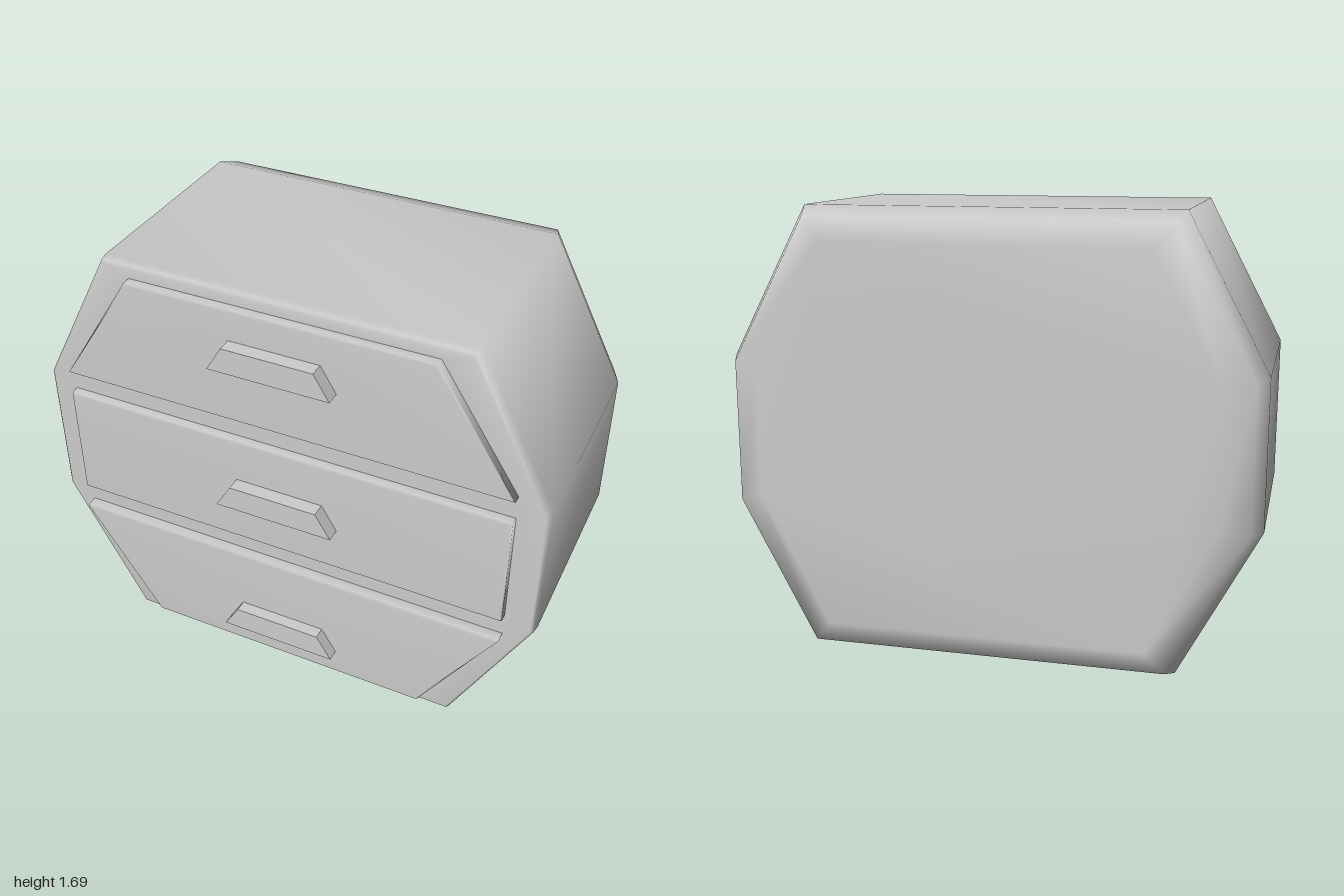
import * as THREE from 'three';
import { mergeGeometries, mergeVertices } from 'three/addons/utils/BufferGeometryUtils.js';

const material = new THREE.MeshStandardMaterial({ color: 0xcccccc, side: THREE.DoubleSide });
const MID = 0.845; // half of the cabinet height

// Symmetric outline, counter-clockwise: half widths at bottom and top
const trapezoid = (bottom, top, y0, y1) => [[-bottom, y0], [bottom, y0], [top, y1], [-top, y1]];

// Outline scaled about its own centre height
const scaled = (pts, s, cy) => pts.map(([x, y]) => [x * s, cy + (y - cy) * s]);

// Outline pulled in by a small distance on both axes
const inset = (pts, d, cy) => pts.map(([x, y]) => [x - Math.sign(x) * d, y - Math.sign(y - cy) * d]);

// Walls joining outlines listed from front to back; skip(ring, side) leaves a gap
function walls(rings, skip = () => false) {
  const pos = [], index = [], n = rings[0].pts.length;
  rings.forEach(({ pts, z }) => pts.forEach(([x, y]) => pos.push(x, y, z)));
  for (let r = 0; r < rings.length - 1; r++) {
    for (let i = 0; i < n; i++) {
      if (skip(r, i)) continue;
      const j = (i + 1) % n, a = r * n + i, b = r * n + j;
      index.push(a, a + n, b + n, a, b + n, b);
    }
  }
  const g = new THREE.BufferGeometry();
  g.setAttribute('position', new THREE.Float32BufferAttribute(pos, 3));
  g.setIndex(index);
  return g;
}

// Flat face at depth z, with optional holes
function face(pts, z, holes = [], back = false) {
  const toVec = (list) => list.map(([x, y]) => new THREE.Vector2(x, y));
  const shape = new THREE.Shape(toVec(pts));
  holes.forEach((h) => shape.holes.push(new THREE.Path(toVec(h))));
  const g = new THREE.ShapeGeometry(shape).translate(0, 0, z);
  if (back) g.setIndex(Array.from(g.index.array).reverse());
  g.deleteAttribute('uv');
  g.deleteAttribute('normal');
  return g;
}

// Joins pieces into one mesh, smooth or crisp
function build(name, pieces, smooth) {
  let g = mergeVertices(mergeGeometries(pieces.map((p) => {
    const q = p.toNonIndexed();
    return q;
  })), 1e-4);
  if (!smooth) g = g.toNonIndexed();
  g.computeVertexNormals();
  const mesh = new THREE.Mesh(g, material);
  mesh.name = name;
  return mesh;
}

export function createModel() {
  const group = new THREE.Group();
  group.name = 'drawerCabinet';

  const drawers = [
    { name: 'lowerDrawer', pts: trapezoid(0.585, 0.885, 0.05, 0.52), cy: 0.285, z: 0.498, handleY: 0.165 },
    { name: 'middleDrawer', pts: trapezoid(0.885, 0.885, 0.615, 1.08), cy: 0.8475, z: 0.49, handleY: 0.803 },
    { name: 'upperDrawer', pts: trapezoid(0.885, 0.585, 1.175, 1.64), cy: 1.4075, z: 0.49, handleY: 1.42 },
  ];

  // Eight-sided body: small front bevel, wide back bevel, open underside
  const outline = [[-0.7, 0], [0.7, 0], [1, 0.565], [1, 1.125], [0.7, 1.69], [-0.7, 1.69], [-1, 1.125], [-1, 0.565]];
  const rings = [[0.985, 0.45], [0.995, 0.44], [1, 0.41], [1, -0.405], [0.96, -0.5], [0.855, -0.543]]
    .map(([s, z]) => ({ pts: scaled(outline, s, MID), z }));
  group.add(build('body', [
    walls(rings, (ring, side) => ring === 2 && side === 0),
    face(rings[0].pts, 0.45, drawers.map((d) => d.pts)),
    face(rings[5].pts, -0.543, [], true),
  ], true));

  // Raised drawer fronts, each with a tapered pull
  for (const d of drawers) {
    const pull = trapezoid(0.235, 0.175, d.handleY, d.handleY + 0.1);
    const front = inset(d.pts, 0.006, d.cy);
    const drawer = new THREE.Group();
    drawer.name = d.name;
    drawer.add(build('drawerFront', [
      face(front, d.z, [pull]),
      walls([{ pts: front, z: d.z }, { pts: d.pts, z: d.z - 0.008 }, { pts: d.pts, z: 0.45 }]),
    ], true));
    drawer.add(build('handle', [
      face(pull, 0.545),
      walls([{ pts: pull, z: 0.545 }, { pts: pull, z: d.z }]),
    ], false));
    group.add(drawer);
  }
  return group;
}
